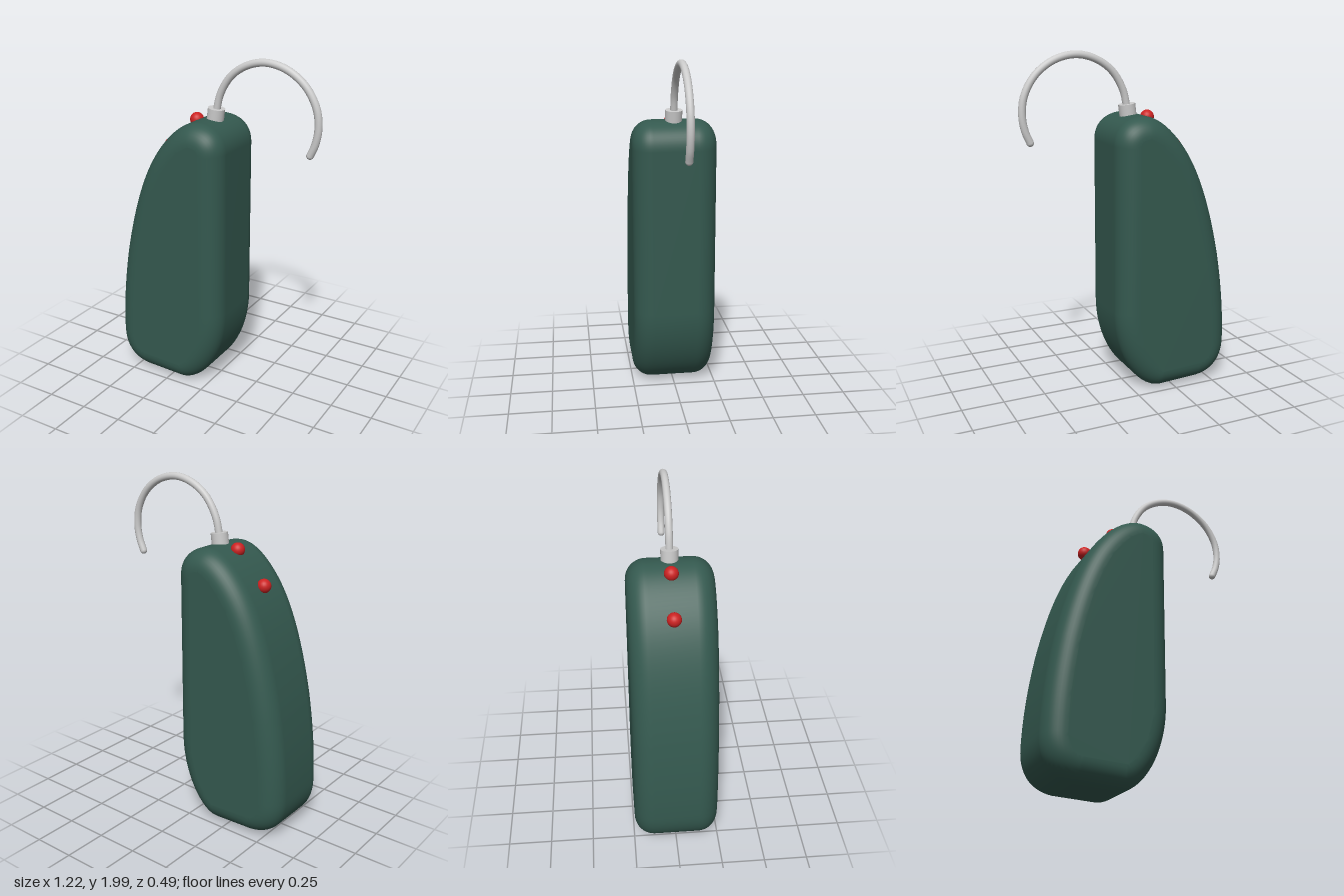
import * as THREE from 'three';
import { mergeVertices } from 'three/addons/utils/BufferGeometryUtils.js';

const DEPTH = 0.488;
const BEVEL = 0.115;

// Rounded, tapering case: side outline extruded with a soft round edge
function caseGeometry() {
  const s = new THREE.Shape();
  s.moveTo(-0.17, 0.005);
  s.bezierCurveTo(-0.04, 0.005, 0.105, 0.23, 0.105, 0.5);
  s.lineTo(0.105, 1.48);
  s.bezierCurveTo(0.105, 1.58, 0.03, 1.64, -0.07, 1.64);
  s.bezierCurveTo(-0.16, 1.64, -0.26, 1.55, -0.34, 1.43);
  s.bezierCurveTo(-0.44, 1.28, -0.51, 1.05, -0.56, 0.8);
  s.bezierCurveTo(-0.6, 0.58, -0.615, 0.4, -0.615, 0.25);
  s.bezierCurveTo(-0.615, 0.12, -0.55, 0.03, -0.42, 0.015);
  s.closePath();
  const g = new THREE.ExtrudeGeometry(s, {
    depth: DEPTH - 2 * BEVEL,
    curveSegments: 16,
    bevelEnabled: true,
    bevelThickness: BEVEL,
    bevelSize: BEVEL,
    bevelOffset: -BEVEL,
    bevelSegments: 10,
  });
  g.translate(0, 0, -DEPTH / 2 + BEVEL);
  g.deleteAttribute('normal');
  g.deleteAttribute('uv');
  const smooth = mergeVertices(g, 1e-4);
  smooth.computeVertexNormals();
  return smooth;
}

export function createModel() {
  const model = new THREE.Group();
  const green = new THREE.MeshStandardMaterial({ color: 0x34594f });
  const red = new THREE.MeshStandardMaterial({ color: 0xcc2222 });
  const grey = new THREE.MeshStandardMaterial({ color: 0xcccccc });

  const add = (name, geometry, material, x = 0, y = 0, z = 0) => {
    const mesh = new THREE.Mesh(geometry, material);
    mesh.name = name;
    mesh.position.set(x, y, z);
    model.add(mesh);
    return mesh;
  };

  add('case', caseGeometry(), green);

  // Two round buttons on the sloping back edge
  const ball = new THREE.SphereGeometry(0.04, 24, 16);
  add('upperButton', ball, red, -0.162, 1.618);
  add('lowerButton', ball, red, -0.342, 1.442);

  // Collar where the hook leaves the case
  const collar = add('collar', new THREE.CylinderGeometry(0.049, 0.049, 0.1, 32), grey, -0.039, 1.648);
  collar.rotation.z = -0.13;

  // Curved ear hook with a rounded tip
  const path = new THREE.CatmullRomCurve3([
    [-0.037, 1.66], [-0.008, 1.78], [0.06, 1.887], [0.16, 1.954], [0.275, 1.979], [0.4, 1.952],
    [0.508, 1.875], [0.573, 1.765], [0.587, 1.66], [0.573, 1.575], [0.546, 1.51],
  ].map(([x, y]) => new THREE.Vector3(x, y, 0)));
  add('earHook', new THREE.TubeGeometry(path, 80, 0.021, 16), grey);
  add('hookTip', new THREE.SphereGeometry(0.021, 16, 12), grey, 0.546, 1.51);

  return model;
}
